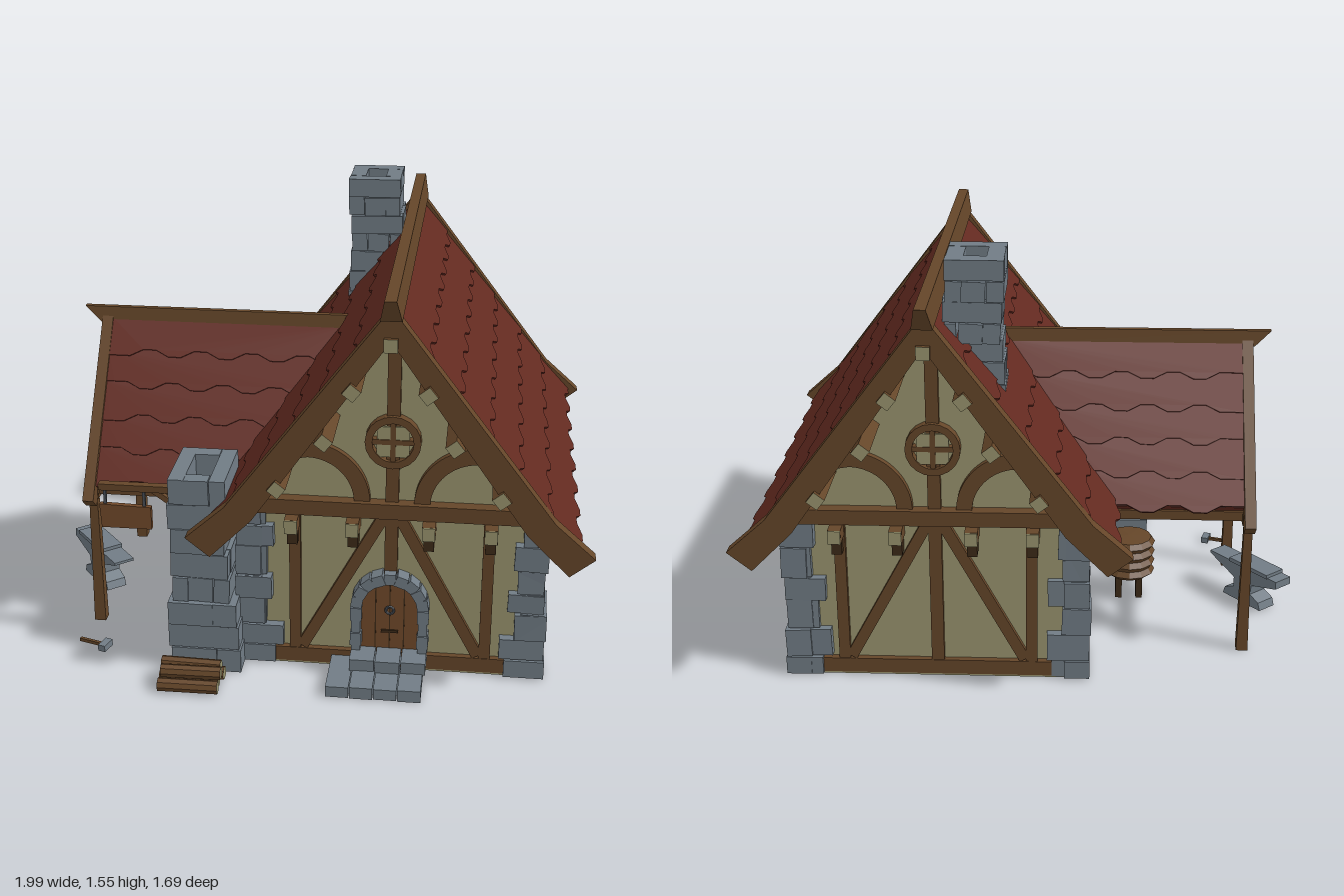
import * as THREE from 'three';

const mat = (name, color) => {
  const m = new THREE.MeshStandardMaterial({ color, flatShading: true });
  m.name = name;
  return m;
};
const plaster = mat('plaster', 0x9a956f), wood = mat('timber', 0x654629), darkWood = mat('darkTimber', 0x3d2a18);
const doorWood = mat('doorWood', 0x71492a), stone = mat('stone', 0x717c85), red = mat('roofTile', 0x632a20);
const iron = mat('iron', 0x4a5058);
const CX = 0.315, CZ = 0.01;

export function createModel() {
  const root = new THREE.Group();
  let seed = 7;
  const rnd = (a, b) => { seed = (seed * 16807) % 2147483647; return a + (b - a) * seed / 2147483647; };

  const group = (name, parent = root, x = 0, y = 0, z = 0, ry = 0) => {
    const g = new THREE.Group();
    g.name = name; g.position.set(x, y, z); g.rotation.y = ry; parent.add(g);
    return g;
  };
  const add = (name, geo, m, parent, x = 0, y = 0, z = 0) => {
    const mesh = new THREE.Mesh(geo, m);
    mesh.name = name; mesh.position.set(x, y, z); parent.add(mesh);
    return mesh;
  };
  const box = (name, m, parent, w, h, d, x, y, z) => add(name, new THREE.BoxGeometry(w, h, d), m, parent, x, y, z);
  // timber between two points in the local xy plane
  const beam = (name, parent, x0, y0, x1, y1, t = 0.04, d = 0.04, z = 0) => {
    const b = box(name, wood, parent, Math.hypot(x1 - x0, y1 - y0), t, d, (x0 + x1) / 2, (y0 + y1) / 2, z);
    b.rotation.z = Math.atan2(y1 - y0, x1 - x0);
  };
  const poly = (pts) => new THREE.Shape(pts.map(p => new THREE.Vector2(p[0], p[1])));
  // band between an outer and an inner line, mirrored over x = 0
  const flip = a => a.slice(1).map(p => [-p[0], p[1]]);
  const band = (outer, inner) => poly([...flip(outer).reverse(), ...outer, ...inner.slice().reverse(), ...flip(inner)]);
  const extrude = (name, shape, depth, m, parent, x, y, z) =>
    add(name, new THREE.ExtrudeGeometry(shape, { depth, bevelEnabled: false, curveSegments: 10 }), m, parent, x, y, z);

  // house body and floor
  const walls = [[0, 1.295], [0.5, 0.655], [0.5, 0.005]];
  extrude('houseWalls', poly([...flip(walls).reverse(), ...walls]), 1.11, plaster, root, CX, 0, -0.545);
  box('floor', plaster, root, 1.03, 0.006, 1.15, CX, 0.003, CZ);

  // timbered gables, front and back
  const gable = (name, z, ry, front) => {
    const g = group(name, root, CX, 0, z, ry);
    beam('sillBeam', g, -0.5, 0.035, 0.5, 0.035, 0.055, 0.045);
    beam('tieBeam', g, -0.5, 0.628, 0.5, 0.628, 0.055, 0.07, 0.01);
    beam('kingPost', g, 0, front ? 0.38 : 0.05, 0, 1.26, 0.045);
    const ring = new THREE.Shape().absarc(0, 0, 0.095, 0, Math.PI * 2);
    ring.holes.push(new THREE.Path().absarc(0, 0, 0.07, 0, Math.PI * 2));
    box('roundPane', plaster, g, 0.11, 0.11, 0.009, 0, 0.88, 0.022);
    extrude('roundWindow', ring, 0.035, wood, g, 0, 0.88, 0);
    beam('windowBar', g, -0.08, 0.88, 0.08, 0.88, 0.018, 0.06);
    beam('windowBar', g, 0, 0.8, 0, 0.96, 0.018, 0.06);
    for (const s of [-1, 1]) {
      beam('wallPost', g, s * 0.335, 0.02, s * 0.335, 0.62);
      beam('wallBrace', g, s * 0.31, 0.07, s * 0.02, 0.61);
      const a = s < 0 ? 0 : Math.PI / 2, arc = new THREE.Shape();
      arc.absarc(0, 0, 0.215, a, a + Math.PI / 2, false);
      arc.absarc(0, 0, 0.16, a + Math.PI / 2, a, true);
      extrude('curvedBrace', arc, 0.025, wood, g, s * 0.29, 0.65, 0);
      beam('braceTail', g, s * 0.285, 0.838, s * 0.345, 0.828, 0.054, 0.05);
      for (const x of [0.13, 0.34]) {
        box('bracketArm', wood, g, 0.045, 0.05, 0.09, s * x, 0.575, 0.045);
        box('bracketEnd', plaster, g, 0.044, 0.049, 0.006, s * x, 0.575, 0.093);
        box('bracketFoot', darkWood, g, 0.036, 0.06, 0.05, s * x, 0.52, 0.025);
      }
    }
  };
  gable('frontGable', 0.565, 0, true);
  gable('backGable', -0.545, Math.PI, false);

  // timbered long walls
  for (const s of [-1, 1]) {
    const g = group(s > 0 ? 'leftWall' : 'rightWall', root, CX + s * 0.5, 0, CZ, s * Math.PI / 2);
    beam('sillBeam', g, -0.5, 0.038, 0.5, 0.038, 0.065, 0.045);
    beam('rail', g, -0.5, 0.17, 0.5, 0.17);
    beam('wallPlate', g, -0.53, 0.62, 0.53, 0.62, 0.05);
    for (const k of [-1, 1]) {
      beam('wallPost', g, k * 0.195, 0.05, k * 0.195, 0.61, 0.042);
      beam('wallBrace', g, k * 0.21, 0.19, k * 0.5, 0.53);
    }
    if (s < 0) { // barred window below the porch
      box('windowFrame', wood, g, 0.2, 0.24, 0.05, 0, 0.34, 0);
      box('windowPane', iron, g, 0.16, 0.2, 0.008, 0, 0.34, 0.026);
      for (const x of [-0.04, 0, 0.04]) box('windowBar', stone, g, 0.012, 0.2, 0.012, x, 0.34, 0.032);
    }
  }

  // stone corners: two interlocking blocks per course, broad at the foot
  for (const sx of [-1, 1]) for (const sz of [-1, 1]) {
    const g = group('cornerStones', root, CX + sx * 0.535, 0, CZ + sz * 0.585);
    let y = 0.003;
    for (let i = 0; y < 0.55; i++) {
      const h = Math.min(i ? rnd(0.07, 0.12) : 0.07, 0.6 - y), odd = i % 2;
      for (const along of [0, 1]) {
        const base = along ? (i ? 0.2 - 0.1 * y : 0.24) : (i ? 0.155 - 0.07 * y : 0.18);
        const long = base - (along === odd ? 0.045 : 0) + rnd(-0.012, 0.012);
        const zl = along ? long : 0.1, xl = along ? 0.09 : long, o = rnd(-0.01, 0.008);
        const b = box('cornerStone', stone, g, xl, h - 0.004, zl, -sx * (xl / 2 + o), y + h / 2, -sz * (zl / 2 + o));
        if (i) b.rotation.set(rnd(-0.03, 0.03), rnd(-0.03, 0.03), rnd(-0.03, 0.03));
      }
      y += h;
    }
  }

  // one slope of overlapping scalloped tiles; runs along x and falls towards +z
  const tileSlope = (parent, path, rows, range, offset) => {
    const curve = new THREE.CurvePath();
    path.slice(1).forEach((p, i) => curve.add(new THREE.LineCurve(new THREE.Vector2(...path[i]), new THREE.Vector2(...p))));
    for (let i = 0; i < rows; i++) {
      const a = curve.getPointAt(i / rows), b = curve.getPointAt((i + 1) / rows);
      const [u0, u1] = range(a.y), len = a.distanceTo(b), pts = [[u0, 0]];
      const shift = (i % 2) * 0.095 + offset;
      for (let k = -40; k < 40; k++) {
        const u = k * 0.0475 + shift;
        if (u > u0 && u < u1) pts.push([u, -len - ((k & 3) < 2 ? 0.025 : 0)]);
      }
      pts.splice(1, 0, [u0, pts[1][1]]);
      pts.push([u1, pts[pts.length - 1][1]], [u1, 0]);
      const row = extrude('tileRow', poly(pts), 0.015, red, parent, 0, a.y, a.x);
      row.rotation.x = -(Math.atan2(b.x - a.x, a.y - b.y) + 0.05);
    }
  };

  // main roof
  const roofPath = [[0, 1.365], [0.545, 0.662], [0.608, 0.59]];
  extrude('roofDeck', band(roofPath, [[0, 1.3], [0.53, 0.625], [0.59, 0.56]]), 1.46, red, root, CX, 0, -0.725);
  for (const s of [-1, 1]) tileSlope(group('mainRoofSlope', root, CX, 0, 0, s * Math.PI / 2), roofPath, 6,
    () => s > 0 ? [-0.735, 0.725] : [-0.725, 0.735], 0);
  const barge = band([[0, 1.415], [0.545, 0.7], [0.68, 0.58]], [[0, 1.305], [0.455, 0.655], [0.597, 0.513]]);
  for (const z of [0.735, -0.775]) extrude('bargeBoard', barge, 0.05, wood, root, CX, 0, z);
  // ridge beam along x, narrower on top, with ends raking outwards
  const ridge = (name, parent, x0, x1, rake0, rake1, y0, y1, w, ry) => {
    const geo = new THREE.BoxGeometry(x1 - x0, y1 - y0, w), p = geo.attributes.position;
    for (let i = 0; i < p.count; i++) if (p.getY(i) > 0) {
      p.setZ(i, p.getZ(i) * 0.55);
      p.setX(i, p.getX(i) + (p.getX(i) < 0 ? -rake0 : rake1));
    }
    add(name, geo, wood, group(name, parent, 0, 0, 0, ry), (x0 + x1) / 2, (y0 + y1) / 2, 0);
  };
  ridge('mainRidge', group('mainRidgeBeam', root, CX), -0.795, 0.795, 0.048, 0.048, 1.375, 1.455, 0.07, Math.PI / 2);
  // purlins with pale cut ends
  for (const [dx, y] of [[0, 1.295], [0.122, 1.132], [0.212, 0.955], [0.367, 0.78]]) for (const s of dx ? [-1, 1] : [1]) {
    const p = add('purlin', new THREE.BoxGeometry(0.045, 0.045, 1.59), [wood, wood, wood, wood, plaster, plaster],
      root, CX + s * dx, y, 0.005);
    p.rotation.z = dx ? -s * 0.9 : 0;
  }

  // porch roof, running into the main slope
  const porch = group('porch', root, 0, 0, 0.015);
  const porchPath = [[0, 1.08], [0.355, 0.575]];
  const deck = extrude('porchDeck', band(porchPath, [[0, 1.03], [0.335, 0.55]]), 0.87, red, porch, -0.78, 0, 0);
  deck.rotation.y = Math.PI / 2;
  const valley = y => CX - (1.365 - y) / 1.29 + 0.015;
  tileSlope(group('porchSlope', porch), porchPath, 5, y => [-0.775, valley(y)], 0.02);
  tileSlope(group('porchSlope', porch, 0, 0, 0, Math.PI), porchPath, 5, y => [-valley(y), 0.775], 0.02);
  const porchBarge = band([[0, 1.115], [0.435, 0.53]], [[0, 1.01], [0.39, 0.49]]);
  extrude('porchBarge', porchBarge, 0.04, wood, porch, -0.81, 0, 0).rotation.y = Math.PI / 2;
  ridge('porchRidge', porch, -0.815, 0.11, 0.06, 0, 1.07, 1.128, 0.04, 0);
  // porch frame
  const truss = group('porchTruss', porch, -0.785, 0, 0, Math.PI / 2);
  beam('tieBeam', truss, -0.37, 0.53, 0.37, 0.53, 0.04, 0.035);
  beam('collar', truss, -0.2, 0.76, 0.2, 0.76, 0.03, 0.03);
  beam('kingPost', truss, 0, 0.53, 0, 1.05, 0.03, 0.03);
  for (const s of [-1, 1]) {
    beam('strut', truss, s * 0.05, 0.55, s * 0.2, 0.78, 0.03, 0.03);
    beam('eavesPlate', porch, -0.8, 0.54, -0.18, 0.54, 0.035, 0.035, s * 0.335);
    const post = add('porchPost', new THREE.CylinderGeometry(0.021, 0.03, 0.53, 4, 1), wood, porch, -0.79, 0.265, s * 0.345);
    post.rotation.y = Math.PI / 4;
  }

  // hollow stone stacks laid in alternating rings of four blocks
  const stack = (name, cx, cz, w, d, t, y0, y1, rows, lean) => {
    const g = group(name, root, cx, 0, cz), h = (y1 - y0) / rows;
    for (let i = 0; i < rows; i++) {
      const y = y0 + (i + 0.5) * h, dx = lean * i, e = i % 2 ? 0 : t;
      for (const s of [-1, 1]) {
        const j = rnd(-0.007, 0.007), k = rnd(-0.007, 0.007), tilt = y0 ? rnd(-0.05, 0.05) : 0;
        box('stackStone', stone, g, w - 2 * e, h - 0.003, t, dx + j * 0.3, y, s * (d - t) / 2 + k).rotation.z = tilt;
        box('stackStone', stone, g, t, h - 0.003, d - 2 * (t - e), dx + s * (w - t) / 2 + j, y, k * 0.3).rotation.z = tilt;
      }
    }
  };
  stack('chimneyFoot', 0.16, -0.445, 0.18, 0.17, 0.055, 1.02, 1.26, 3, 0.002);
  stack('chimney', 0.18, -0.47, 0.195, 0.235, 0.058, 1.26, 1.545, 4, -0.005);
  stack('forgeBase', -0.33, 0.535, 0.25, 0.29, 0.085, 0, 0.27, 3, -0.004);
  stack('forgeStack', -0.345, 0.535, 0.2, 0.275, 0.055, 0.27, 0.74, 5, -0.001);

  // door with stone arch and steps
  const door = group('frontDoor', root, CX, 0, 0.565);
  const leaf = new THREE.Shape().moveTo(-0.1, 0.07).lineTo(0.1, 0.07).lineTo(0.1, 0.255);
  leaf.absarc(0, 0.255, 0.1, 0, Math.PI, false);
  extrude('doorLeaf', leaf, 0.025, doorWood, door, 0, 0, 0);
  for (const x of [-0.05, 0, 0.05]) box('plankGap', darkWood, door, 0.004, 0.26, 0.004, x, 0.205, 0.025);
  box('doorBar', darkWood, door, 0.06, 0.01, 0.008, 0, 0.155, 0.027);
  add('doorKnocker', new THREE.TorusGeometry(0.014, 0.005, 6, 12), iron, door, 0, 0.24, 0.03);
  for (let i = 0; i < 9; i++) {
    const a = (i + 0.5) / 9 * Math.PI;
    box('archStone', stone, door, 0.04, 0.041, 0.055 + (i % 2) * 0.008, Math.cos(a) * 0.116, 0.255 + Math.sin(a) * 0.116, 0.025).rotation.z = a;
  }
  for (const s of [-1, 1]) for (let i = 0; i < 4; i++)
    box('jambStone', stone, door, 0.032 + (i % 2) * 0.008, 0.048, 0.055 + (i % 2) * 0.008, s * 0.117, 0.08 + i * 0.05, 0.025);
  for (let i = 0; i < 4; i++) {
    box('lowerStep', stone, door, 0.08, 0.04 + (i % 2) * 0.004, 0.23, -0.165 + i * 0.083, 0.021, 0.115);
    if (i < 3) box('upperStep', stone, door, 0.086, 0.045, 0.12 + (i % 2) * 0.008, -0.09 + i * 0.09, 0.063, 0.06);
  }

  // hanging sign on the forge stack
  const sign = group('hangingSign', root, 0, 0, 0.535);
  beam('signArm', sign, -0.72, 0.638, -0.42, 0.638, 0.024, 0.03);
  beam('signBrace', sign, -0.53, 0.635, -0.44, 0.57, 0.02, 0.02);
  extrude('signBoard', poly([[-0.72, 0.57], [-0.535, 0.565], [-0.535, 0.48], [-0.715, 0.48]]), 0.02, doorWood, sign, 0, 0, -0.01);
  for (const x of [-0.7, -0.56]) box('signHook', iron, sign, 0.01, 0.07, 0.01, x, 0.597, 0);

  // firewood
  const logs = group('logPile', root, -0.36, 0, 0.77);
  for (const [z, y] of [[-0.05, 0.024], [0, 0.024], [0.05, 0.024], [-0.022, 0.066], [0.026, 0.066]]) {
    const log = add('log', new THREE.CylinderGeometry(0.024, 0.024, 0.21, 8), [wood, plaster, plaster], logs, rnd(-0.01, 0.01), y, z);
    log.rotation.set(0, rnd(-0.06, 0.06), Math.PI / 2);
  }

  // pleated bellows on a stand beside the forge
  const bellows = group('bellows', root, -0.38, 0, 0.09);
  const pleats = [[0, 0.09], [0.075, 0.09]];
  for (let i = 0; i < 4; i++) pleats.push([0.1, 0.11 + i * 0.04], [0.085, 0.13 + i * 0.04]);
  pleats.push([0, 0.255]);
  add('bellowsBody', new THREE.LatheGeometry(pleats.map(p => new THREE.Vector2(...p)), 12), wood, bellows);
  for (const s of [-1, 1]) box('bellowsLeg', darkWood, bellows, 0.025, 0.1, 0.09, s * 0.04, 0.05, 0);

  // anvil, its length along local x
  const anvil = group('anvil', root, -0.853, 0, 0.055, -0.87);
  const side = [[-0.1, 0], [0.1, 0], [0.09, 0.03], [0.045, 0.05], [0.045, 0.09], [0.09, 0.11], [0.18, 0.145], [0.18, 0.155],
    [-0.175, 0.155], [-0.175, 0.125], [-0.05, 0.09], [-0.045, 0.05], [-0.09, 0.03]];
  extrude('anvilBody', poly(side), 0.08, stone, anvil, 0, 0, -0.04);
  box('anvilFace', stone, anvil, 0.2, 0.016, 0.09, -0.03, 0.16, 0);

  // hammer lying on the ground
  const hammer = group('hammer', root, -0.76, 0, 0.56, -0.3);
  box('hammerHandle', wood, hammer, 0.1, 0.012, 0.012, -0.015, 0.012, 0);
  box('hammerHead', stone, hammer, 0.028, 0.024, 0.055, 0.04, 0.012, 0);

  return root;
}
